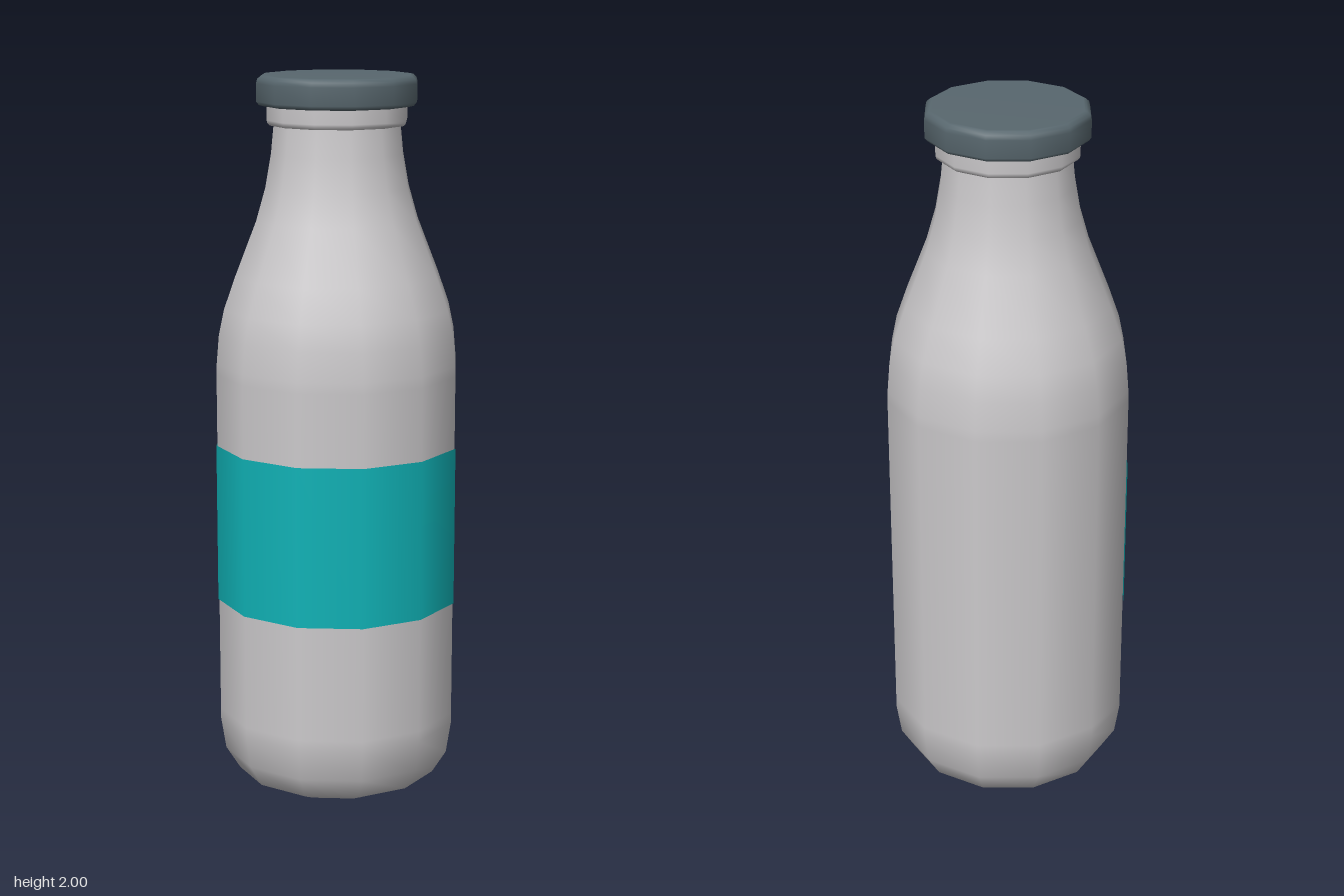
import * as THREE from 'three';

const SIDES = 12;

// Twelve-sided smooth turned part from [radius, height] pairs, listed bottom to top
function turned(name, profile, material, sides = SIDES, start = 0, sweep = Math.PI * 2) {
  const points = profile.map(([r, y]) => new THREE.Vector2(r, y));
  const mesh = new THREE.Mesh(new THREE.LatheGeometry(points, sides, start, sweep), material);
  mesh.name = name;
  return mesh;
}

export function createModel() {
  const glass = new THREE.MeshStandardMaterial({ color: 0xcbc9cb });
  glass.name = 'pale grey glass';
  const teal = new THREE.MeshStandardMaterial({ color: 0x10b2b6, side: THREE.DoubleSide });
  teal.name = 'teal label';
  const slate = new THREE.MeshStandardMaterial({ color: 0x58676e });
  slate.name = 'slate cap';

  const bottle = new THREE.Group();
  bottle.name = 'bottle';

  // Rounded base, straight sides, sloping shoulder and narrow neck
  bottle.add(turned('body', [
    [0, 0], [0.19, 0], [0.22, 0.005], [0.285, 0.035], [0.325, 0.1], [0.339, 0.19], [0.339, 0.22],
    [0.339, 1.19], [0.338, 1.22], [0.331, 1.3], [0.316, 1.37], [0.284, 1.46],
    [0.225, 1.61], [0.199, 1.7], [0.183, 1.79], [0.174, 1.88],
  ], glass));

  // Lip ring around the mouth
  bottle.add(turned('lip', [
    [0.165, 1.866], [0.186, 1.866], [0.192, 1.872], [0.194, 1.88], [0.194, 1.93],
  ], glass));

  // Flat cap with softened rims
  bottle.add(turned('cap', [
    [0, 1.918], [0.205, 1.918], [0.215, 1.921], [0.222, 1.93],
    [0.222, 1.978], [0.219, 1.99], [0.21, 1.998], [0.203, 2], [0, 2],
  ], slate));

  // Label wrapped around the front half
  bottle.add(turned('label', [[0.342, 0.545], [0.342, 0.99]], teal,
    SIDES / 2, -Math.PI / 2, Math.PI));

  const model = new THREE.Group();
  model.name = 'milkBottle';
  model.add(bottle);
  return model;
}
